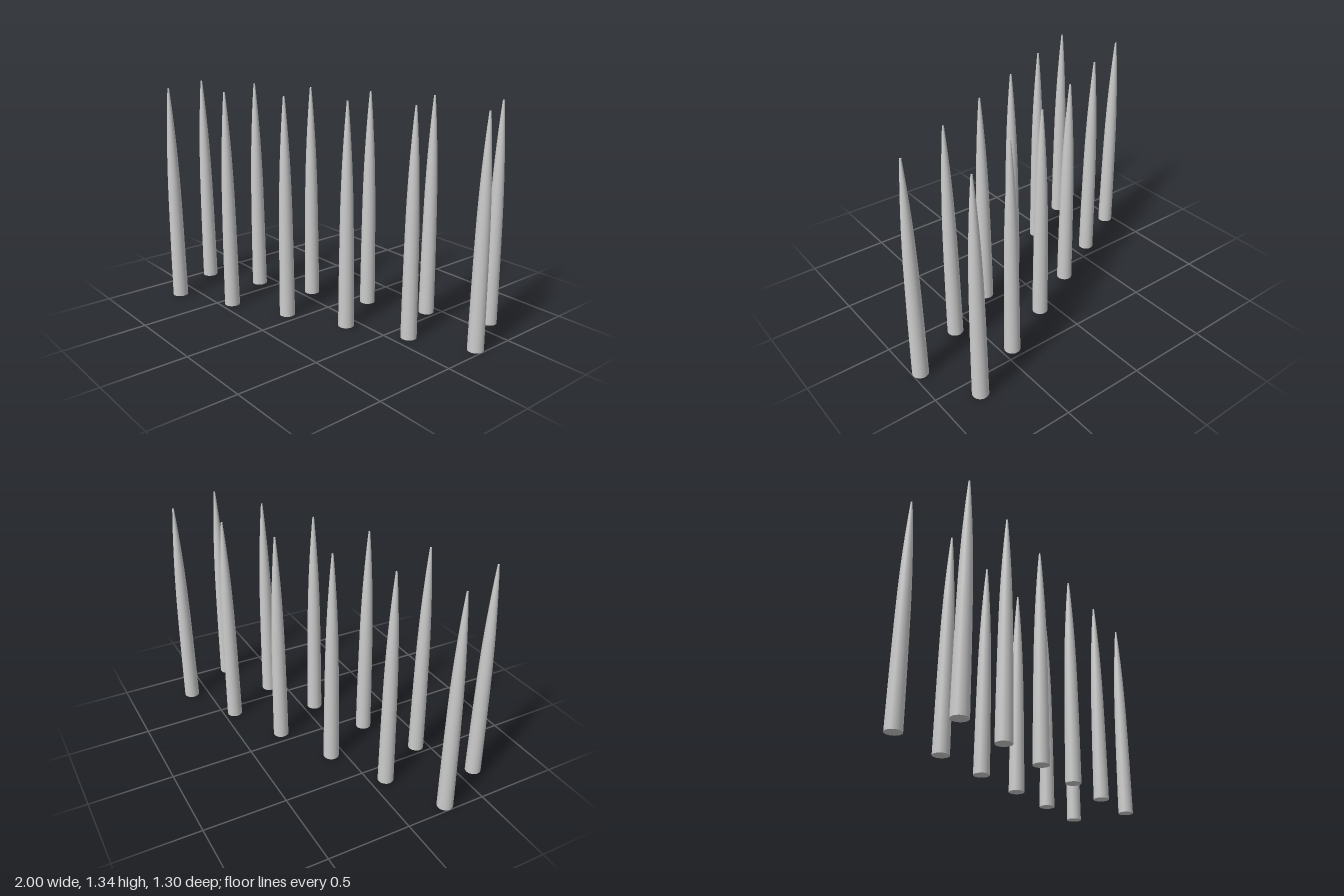
import * as THREE from 'three';

const BASE_RADIUS = 0.047;
const TIP_RADIUS = 0.005;
const HEIGHT = 1.34;
const SIDES = 24;

// Tapered shaft that narrows faster toward the tip
function shaftGeometry() {
  const curve = new THREE.SplineCurve([
    [BASE_RADIUS, 0], [0.0445, 0.3], [0.0405, 0.6], [0.036, 0.8],
    [0.028, 1.0], [0.016, 1.2], [TIP_RADIUS, HEIGHT],
  ].map(([r, y]) => new THREE.Vector2(r, y)));
  return new THREE.LatheGeometry(curve.getPoints(18), SIDES);
}

export function createModel() {
  const model = new THREE.Group();
  model.name = 'spikeRows';
  const material = new THREE.MeshStandardMaterial({ color: 0xcccccc });

  const shaft = shaftGeometry();
  const base = new THREE.CircleGeometry(BASE_RADIUS, SIDES).rotateX(Math.PI / 2);
  const tip = new THREE.CircleGeometry(TIP_RADIUS, SIDES).rotateX(-Math.PI / 2);
  tip.translate(0, HEIGHT, 0);

  // Two parallel diagonal rows of six spikes
  const rows = [
    { name: 'back', x: -0.953, z: 0.272 },
    { name: 'front', x: -0.78, z: 0.603 },
  ];
  for (const row of rows) {
    for (let i = 0; i < 6; i++) {
      const spike = new THREE.Group();
      spike.name = `${row.name}Spike${i + 1}`;
      for (const [name, geometry] of [['shaft', shaft], ['base', base], ['tip', tip]]) {
        const mesh = new THREE.Mesh(geometry, material);
        mesh.name = name;
        spike.add(mesh);
      }
      spike.position.set(row.x + i * 0.3466, 0, row.z - i * 0.175);
      model.add(spike);
    }
  }
  return model;
}
